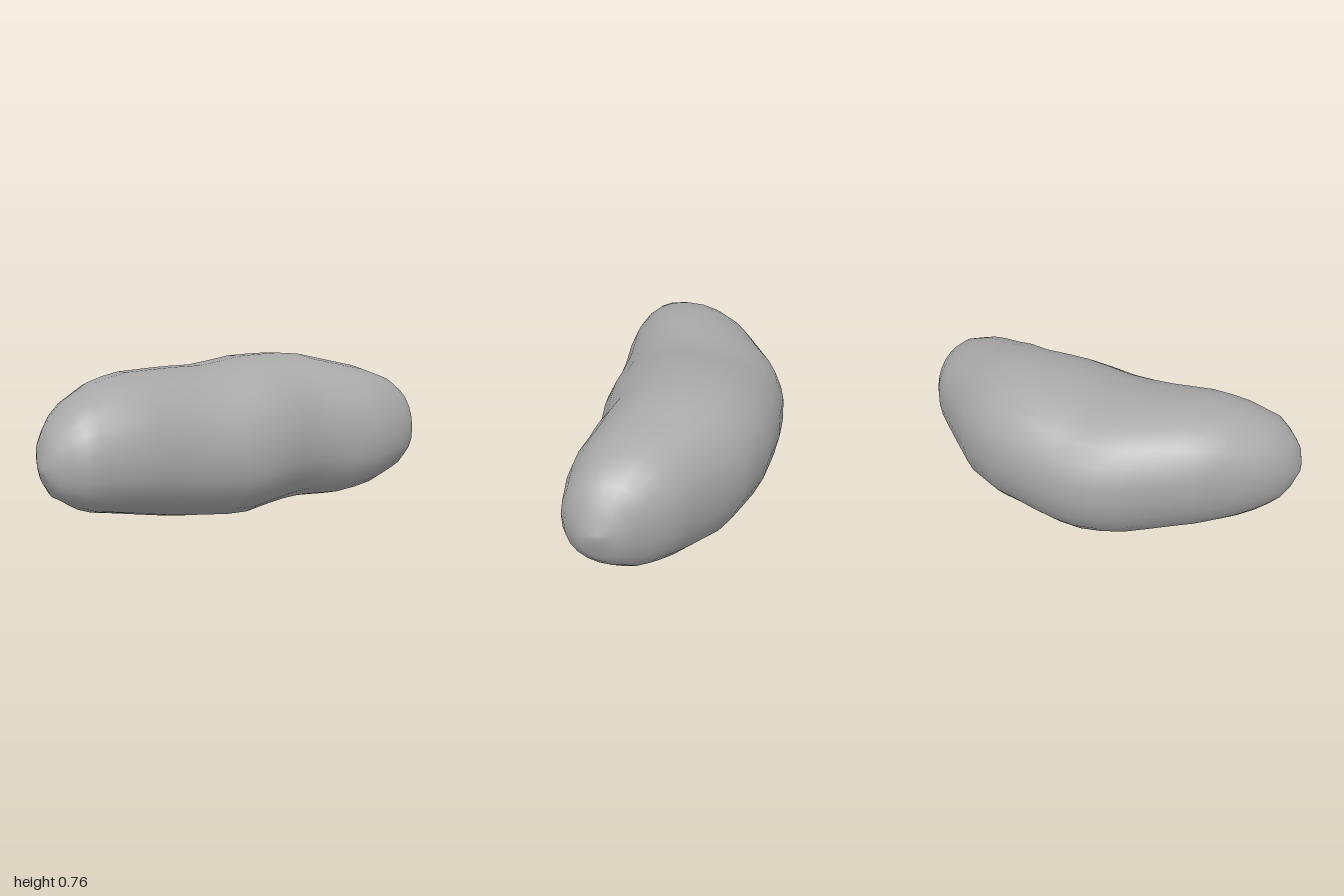
import * as THREE from 'three';

// Outline profiles along x, as [x, value] pairs
const TOP = [[-1, .4], [-.97, .54], [-.87, .65], [-.7, .72], [-.55, .745], [-.1, .735], [.13, .768], [.4, .768], [.72, .69], [.87, .625], [.95, .53], [1, .4]];
const BOTTOM = [[-1, .4], [-.96, .28], [-.82, .18], [-.35, .05], [-.04, 0], [.2, .03], [.54, .03], [.73, .08], [.87, .155], [.97, .27], [1, .4]];
const FRONT = [[-1, .22], [-.99, .29], [-.86, .4], [-.6, .43], [-.3, .42], [-.04, .44], [.15, .42], [.33, .39], [.5, .42], [.66, .447], [.88, .41], [.99, .29], [1, .22]];
const BACK = [[-1, .22], [-.985, .13], [-.89, -.02], [-.65, -.23], [-.28, -.42], [-.15, -.453], [.1, -.445], [.32, -.41], [.52, -.325], [.87, -.05], [.975, .13], [1, .22]];

// Linear lookup in a profile
function sample(profile, x) {
  let i = 1;
  while (i < profile.length - 1 && profile[i][0] < x) i++;
  const [x0, v0] = profile[i - 1], [x1, v1] = profile[i];
  return THREE.MathUtils.lerp(v0, v1, THREE.MathUtils.clamp((x - x0) / (x1 - x0), 0, 1));
}

const rounded = (v) => Math.sign(v) * Math.pow(Math.abs(v), 0.93);

// Closed smooth body from slightly squared oval sections
function bodyGeometry(stations = 28, sides = 24) {
  const positions = [-1, 0.4, 0.22];
  const index = [];
  const ring = (i, j) => 1 + (i - 1) * sides + (j % sides);
  for (let i = 1; i < stations; i++) {
    const x = -Math.cos((i / stations) * Math.PI);
    const top = sample(TOP, x), bottom = sample(BOTTOM, x);
    const front = sample(FRONT, x), back = sample(BACK, x);
    for (let j = 0; j < sides; j++) {
      const a = (j / sides) * Math.PI * 2;
      const up = rounded(Math.sin(a)), out = rounded(Math.cos(a));
      // Shear leans the crown backward and the underside forward
      const lean = -0.04 * Math.sin(a) * Math.cos(a) ** 2;
      positions.push(x, (top + bottom) / 2 + up * (top - bottom) / 2,
        (front + back) / 2 + out * (front - back) / 2 + lean * (front - back));
    }
  }
  const tip = positions.length / 3;
  positions.push(1, 0.4, 0.22);
  for (let j = 0; j < sides; j++) {
    index.push(0, ring(1, j), ring(1, j + 1));
    for (let i = 1; i < stations - 1; i++) {
      const a = ring(i, j), b = ring(i + 1, j), c = ring(i + 1, j + 1), d = ring(i, j + 1);
      index.push(a, b, c, a, c, d);
    }
    index.push(ring(stations - 1, j), tip, ring(stations - 1, j + 1));
  }
  const geometry = new THREE.BufferGeometry();
  geometry.setAttribute('position', new THREE.Float32BufferAttribute(positions, 3));
  geometry.setIndex(index);
  geometry.computeVertexNormals();
  return geometry;
}

export function createModel() {
  const group = new THREE.Group();
  group.name = 'rock';
  const stone = new THREE.MeshStandardMaterial({ color: 0xa8a8a8 });
  stone.name = 'stone grey';
  const body = new THREE.Mesh(bodyGeometry(), stone);
  body.name = 'rockBody';
  group.add(body);
  return group;
}
